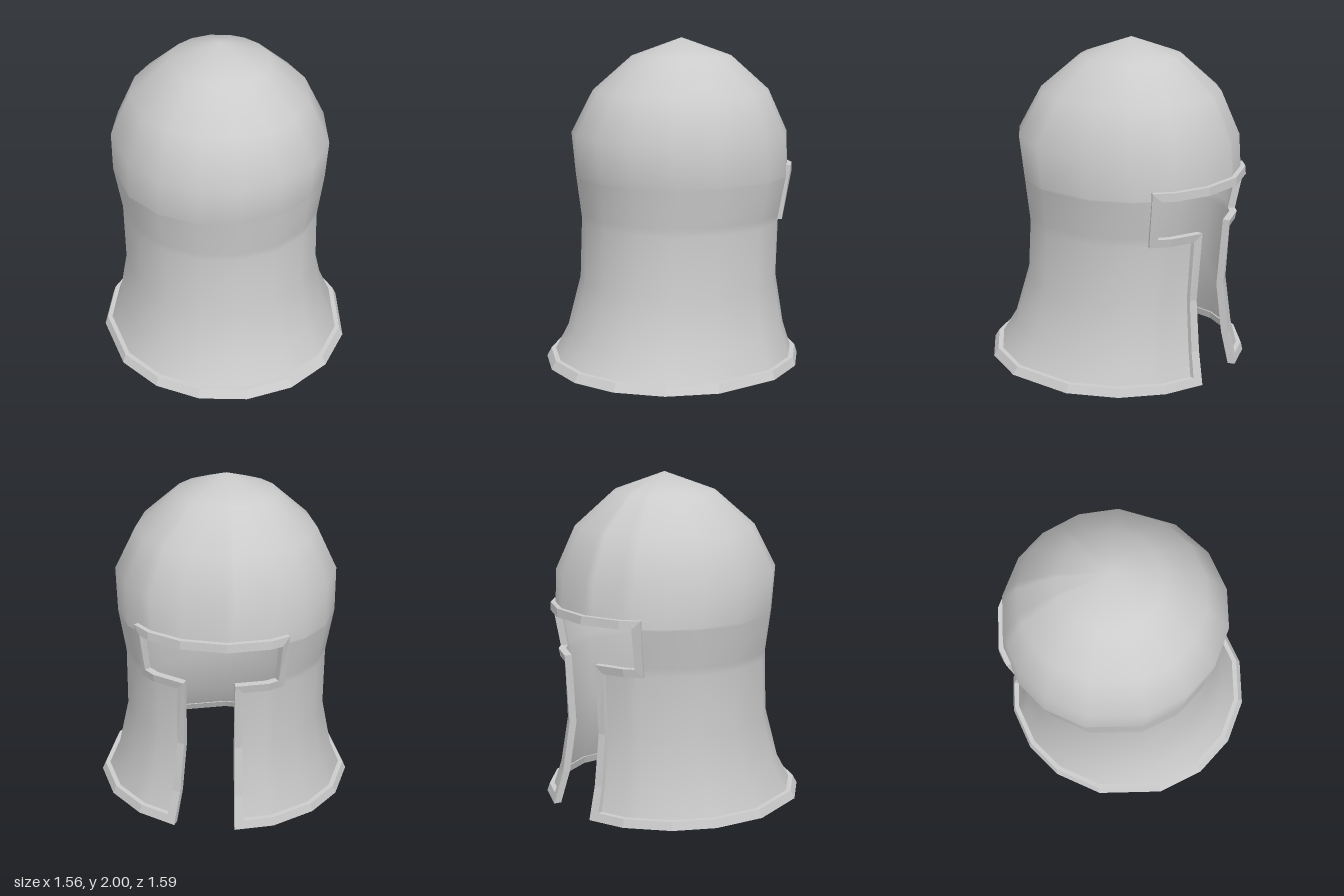
import * as THREE from 'three';
import { mergeVertices } from 'three/addons/utils/BufferGeometryUtils.js';

// Facet corners around the helmet: degrees from the -z axis towards +x
const CORNERS = [-35, -14, 8, 30.5, 49, 69.5, 92, 122, 145, 167.5, 189, 210.5, 231.5, 253.5, 283, 306];
// Profile rows: height, radius, centre z
const PROFILE = [
  [0, 0.775, 0], [0.2, 0.69, -0.035], [0.51, 0.625, -0.06], [0.88, 0.625, -0.08], [1.16, 0.67, -0.095],
  [1.42, 0.677, -0.07], [1.68, 0.55, -0.085], [1.89, 0.31, -0.09], [2, 0, -0.09],
];
// T-shaped opening: slot and bar limits
const SLOT = [3.5, 30.5], BAR = [-20, 56], BAR_Y = [0.93, 1.17];
const RAD = Math.PI / 180;

// Point on the faceted shell at an angle and height, pushed out by off
function shellPoint(angle, y, off = 0) {
  const a = ((angle + 35) % 360 + 360) % 360 - 35;
  let i = CORNERS.length - 1;
  while (i > 0 && CORNERS[i] > a) i--;
  const a0 = CORNERS[i], a1 = CORNERS[i + 1] ?? CORNERS[0] + 360;
  const chord = Math.cos((a1 - a0) / 2 * RAD) / Math.cos((a - (a0 + a1) / 2) * RAD);
  let k = 0;
  while (k < PROFILE.length - 2 && PROFILE[k + 1][0] < y) k++;
  const [p, q] = [PROFILE[k], PROFILE[k + 1]];
  const t = (y - p[0]) / (q[0] - p[0]);
  const r = (THREE.MathUtils.lerp(p[1], q[1], t) + off) * chord;
  const cz = THREE.MathUtils.lerp(p[2], q[2], t);
  return [-0.01 + 0.98 * r * Math.sin(a * RAD), y, cz - r * Math.cos(a * RAD)];
}

function makeGeometry(positions, index) {
  const g = new THREE.BufferGeometry();
  g.setAttribute('position', new THREE.Float32BufferAttribute(positions, 3));
  g.setIndex(index);
  return g;
}

// Domed shell: a grid of angles and heights with the opening left out
function shellGeometry() {
  const cols = [...CORNERS, ...BAR, SLOT[0]].sort((a, b) => a - b);
  const rows = [...PROFILE.map(p => p[0]), ...BAR_Y].sort((a, b) => a - b);
  const n = cols.length, pos = [], idx = [];
  for (const y of rows) for (const a of cols) pos.push(...shellPoint(a, y));
  for (let j = 0; j < rows.length - 1; j++) {
    const y = (rows[j] + rows[j + 1]) / 2;
    for (let i = 0; i < n; i++) {
      const a = (cols[i] + (cols[i + 1] ?? cols[0] + 360)) / 2;
      const gap = y < BAR_Y[0] ? SLOT : y < BAR_Y[1] ? BAR : null;
      if (gap && a > gap[0] && a < gap[1]) continue;
      const i2 = (i + 1) % n;
      const p = j * n + i, q = j * n + i2, r = p + n, s = q + n;
      idx.push(p, r, q, q, r, s);
    }
  }
  const g = mergeVertices(makeGeometry(pos, idx));
  g.computeVertexNormals();
  return g;
}

// Raised border: one closed band round the opening and the bottom rim
function borderGeometry() {
  const [s0, s1] = SLOT, [b0, b1] = BAR, [y0, y1] = BAR_Y;
  const w = 4.2, h = 0.05;
  // Each corner: edge angle, edge height, outer angle, outer height
  const path = [
    [s1, 0, s1 + w, h], [s1, y0, s1 + w, y0 - h], [b1, y0, b1 + w, y0 - h], [b1, y1, b1 + w, y1 + h],
    [b0, y1, b0 - w, y1 + h], [b0, y0, b0 - w, y0 - h], [s0, y0, s0 - w, y0 - h], [s0, 0, s0 - w, h],
    [s1 - 360, 0, s1 + w - 360, h],
  ];
  const allAngles = [...CORNERS, ...CORNERS.map(a => a - 360)];
  const heights = PROFILE.map(p => p[0]);
  const stations = [];
  for (let k = 0; k < path.length - 1; k++) {
    const A = path[k], B = path[k + 1];
    const c = A[1] === B[1] ? 0 : 1; // runs along angle or along height
    const lo = Math.max(Math.min(A[c], B[c]), Math.min(A[c + 2], B[c + 2])) + 0.01;
    const hi = Math.min(Math.max(A[c], B[c]), Math.max(A[c + 2], B[c + 2])) - 0.01;
    const dir = Math.sign(B[c] - A[c]);
    const cuts = (c ? heights : allAngles).filter(v => v > lo && v < hi).sort((a, b) => dir * (a - b));
    stations.push(A);
    for (const v of cuts) {
      const s = [...A];
      s[c] = s[c + 2] = v;
      stations.push(s);
    }
  }
  const pos = [], idx = [], n = stations.length;
  for (const [a, y, oa, oy] of stations) {
    pos.push(...shellPoint(a, y, -0.015), ...shellPoint(a, y, 0.03),
      ...shellPoint(oa, oy, 0.03), ...shellPoint(oa, oy, -0.01));
  }
  for (let k = 0; k < n; k++) {
    for (let c = 0; c < 4; c++) {
      const p = k * 4 + c, s = k * 4 + (c + 1) % 4;
      const p2 = ((k + 1) % n) * 4 + c, s2 = ((k + 1) % n) * 4 + (c + 1) % 4;
      idx.push(p, p2, s, s, p2, s2);
    }
  }
  const g = makeGeometry(pos, idx).toNonIndexed();
  g.computeVertexNormals();
  return g;
}

export function createModel() {
  const group = new THREE.Group();
  group.name = 'helmet';
  const add = (name, geometry, options) => {
    const mesh = new THREE.Mesh(geometry, new THREE.MeshStandardMaterial({ color: 0xcccccc, ...options }));
    mesh.name = name;
    group.add(mesh);
  };
  add('shell', shellGeometry(), { side: THREE.DoubleSide });
  add('openingAndRimBorder', borderGeometry(), { flatShading: true });
  return group;
}
